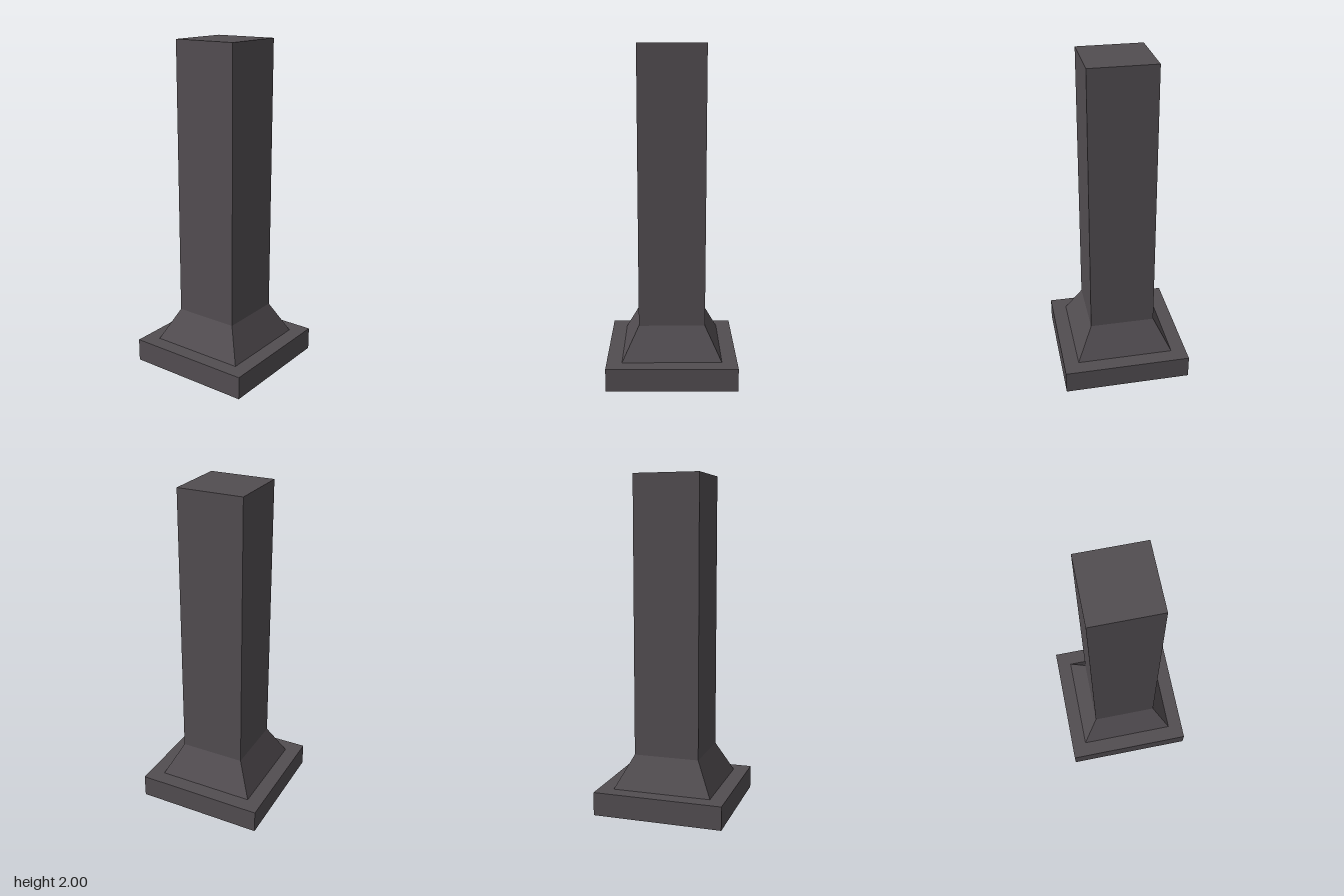
import * as THREE from 'three';

export function createModel() {
  const model = new THREE.Group();
  const stone = new THREE.MeshStandardMaterial({ color: 0x524d51 });
  stone.name = 'darkStone';

  // Sweeps a [half width, height] profile around a square, with crisp faces
  function squareLathe(name, profile) {
    const points = profile.map(([h, y]) => new THREE.Vector2(h * Math.SQRT2, y));
    const geometry = new THREE.LatheGeometry(points, 4, Math.PI / 4).toNonIndexed();
    geometry.computeVertexNormals();
    const mesh = new THREE.Mesh(geometry, stone);
    mesh.name = name;
    model.add(mesh);
  }

  // Hollow plinth with a thin rim, open below
  squareLathe('plinth', [[0.285, 0.12], [0.37, 0.12], [0.37, 0], [0.39, 0], [0.39, 0.14], [0.298, 0.14]]);

  // Sloping collar between plinth and shaft
  squareLathe('collar', [[0.298, 0.14], [0.199, 0.335]]);
  squareLathe('collarInside', [[0.18, 0.33], [0.285, 0.12]]);

  // Square shaft with a flat top, hollow inside
  squareLathe('shaft', [[0.199, 0.335], [0.199, 2], [0, 2]]);
  squareLathe('shaftInside', [[0, 1.98], [0.18, 1.98], [0.18, 0.33]]);

  return model;
}
